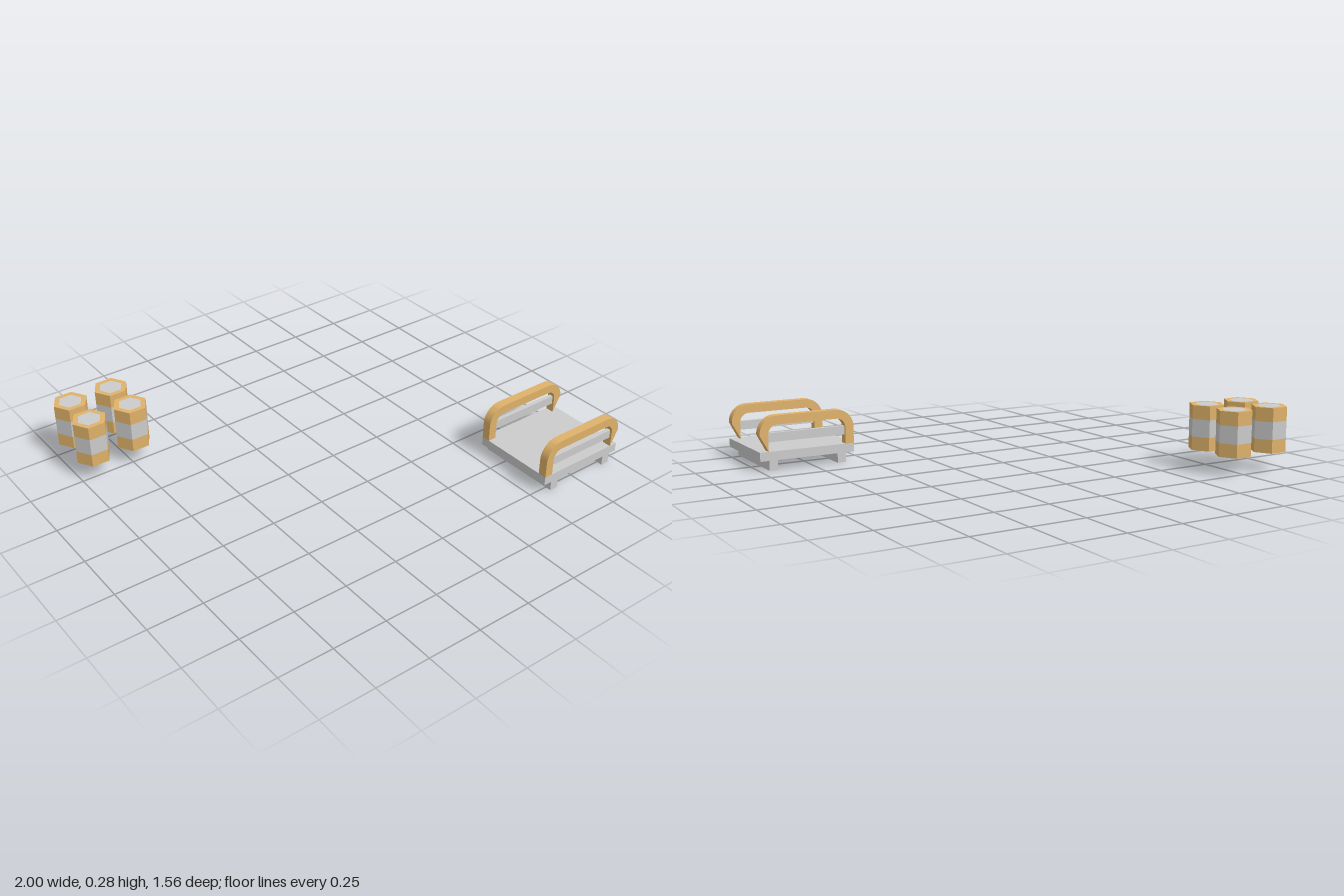
import * as THREE from 'three';
import { toCreasedNormals } from 'three/addons/utils/BufferGeometryUtils.js';

const tan = new THREE.MeshStandardMaterial({ color: 0xdfb26a });
const tanFlat = new THREE.MeshStandardMaterial({ color: 0xdfb26a, flatShading: true });
const grey = new THREE.MeshStandardMaterial({ color: 0xcccccc, flatShading: true });

function add(parent, name, geometry, material, x, y, z) {
  const mesh = new THREE.Mesh(geometry, material);
  mesh.name = name;
  mesh.position.set(x, y, z);
  parent.add(mesh);
  return mesh;
}

// Hexagonal canister: three stacked bands, framed lid and plain base
function createCanister(x, z) {
  const canister = new THREE.Group();
  canister.name = 'canister';
  canister.position.set(x, 0.082, z);
  const r = 0.079, inner = 0.054;
  const band = (name, y0, y1, material) => add(canister, name,
    new THREE.CylinderGeometry(r, r, y1 - y0, 6, 1, true, Math.PI / 2), material, 0, (y0 + y1) / 2, 0);
  band('lowerBand', 0, 0.06, tanFlat);
  band('middleBand', 0.06, 0.138, grey);
  band('upperBand', 0.138, 0.199, tanFlat);
  add(canister, 'lidRim', new THREE.RingGeometry(inner, r, 6, 1).rotateX(-Math.PI / 2), tanFlat, 0, 0.199, 0);
  add(canister, 'lidPanel', new THREE.CircleGeometry(inner, 6).rotateX(-Math.PI / 2), grey, 0, 0.199, 0);
  add(canister, 'base', new THREE.CircleGeometry(r, 6).rotateX(Math.PI / 2), tanFlat, 0, 0, 0);
  return canister;
}

// Outline of an upside-down U with rounded upper corners
function archPath(shape, halfWidth, top, radius, close) {
  const c = halfWidth - radius;
  shape.absarc(c, top - radius, radius, 0, Math.PI / 2, false);
  shape.absarc(-c, top - radius, radius, Math.PI / 2, Math.PI, false);
  if (close) shape.lineTo(-halfWidth, 0);
}

function createArch() {
  const outer = 0.2215, inner = 0.1815, height = 0.157, t = 0.04;
  const shape = new THREE.Shape();
  shape.moveTo(outer, 0);
  archPath(shape, outer, height, 0.082, true);
  // Return along the inside of the bar
  shape.lineTo(-inner, 0);
  shape.absarc(-inner + 0.042, height - t - 0.042, 0.042, Math.PI, Math.PI / 2, true);
  shape.absarc(inner - 0.042, height - t - 0.042, 0.042, Math.PI / 2, 0, true);
  shape.lineTo(inner, 0);
  const geometry = new THREE.ExtrudeGeometry(shape, { depth: t, bevelEnabled: false, curveSegments: 6 });
  geometry.translate(0, 0, -t / 2);
  return toCreasedNormals(geometry, 0.6);
}

// Cargo sled: deck on two runners with a railed arch at each end
function createSled() {
  const sled = new THREE.Group();
  sled.name = 'sled';
  sled.position.set(0.7765, 0, 0.58);
  const depth = 0.395;
  add(sled, 'deck', new THREE.BoxGeometry(0.443, 0.04, depth), grey, 0, 0.064, 0);
  const arch = createArch();
  for (const side of [-1, 1]) {
    add(sled, 'runner', new THREE.BoxGeometry(0.04, 0.046, depth), grey, side * 0.161, 0.023, 0);
    const z = side * (depth / 2 - 0.02);
    add(sled, 'archHandle', arch, tan, 0, 0.084, z);
    add(sled, 'crossRail', new THREE.BoxGeometry(0.37, 0.04, 0.02), grey, 0, 0.144, z);
  }
  return sled;
}

export function createModel() {
  const model = new THREE.Group();
  model.name = 'cargoSet';
  for (const x of [-0.921, -0.721])
    for (const z of [-0.71, -0.532]) model.add(createCanister(x, z));
  model.add(createSled());
  return model;
}
